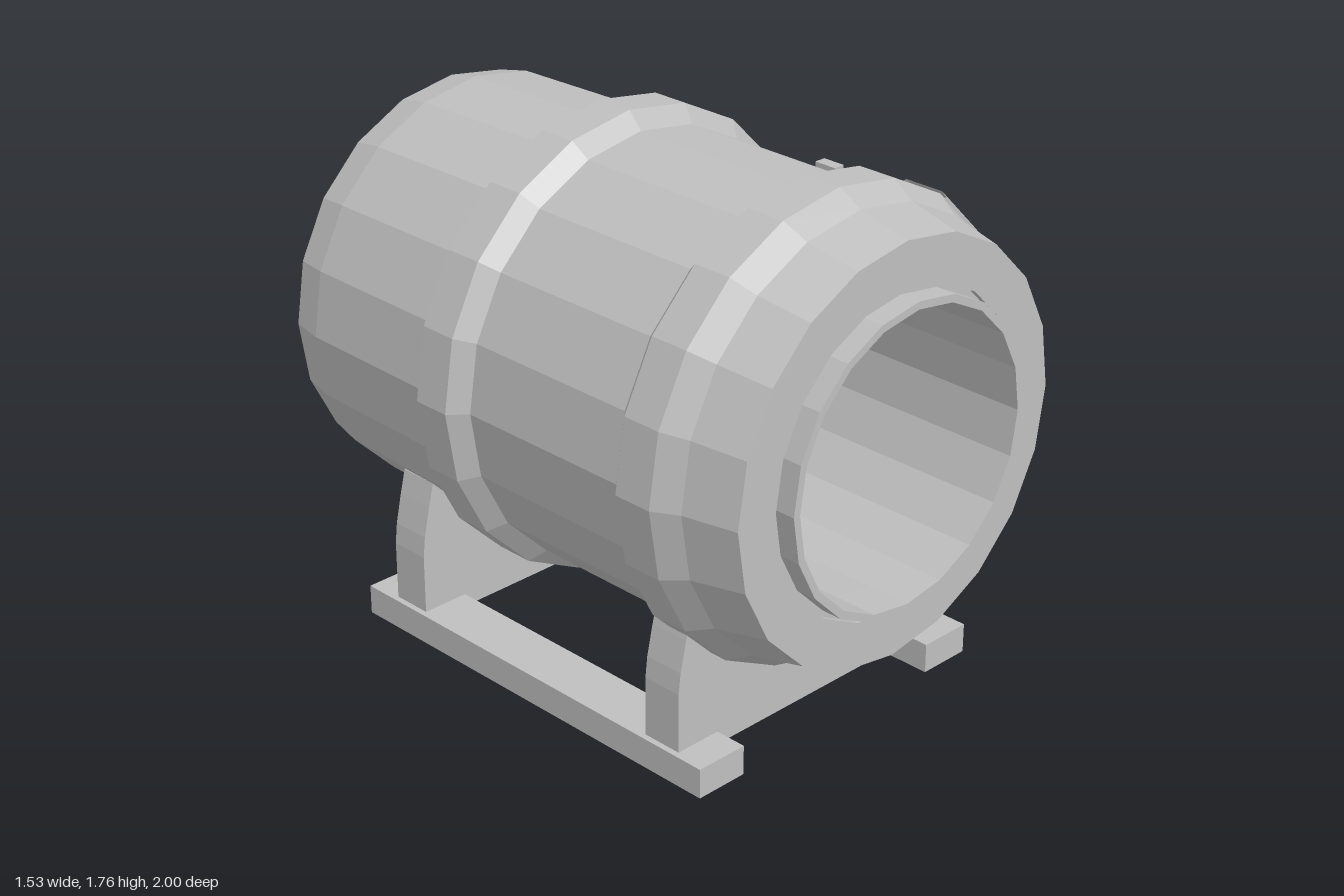
import * as THREE from 'three';

const AXIS_Y = 1; // height of the duct centre line
const SIDES = 20;

export function createModel() {
  const model = new THREE.Group();
  model.name = 'ductedFan';
  const grey = new THREE.MeshStandardMaterial({ color: 0xbfbfbf, flatShading: true, side: THREE.DoubleSide });
  grey.name = 'grey';

  const add = (parent, name, geometry, x = 0, y = 0, z = 0) => {
    const mesh = new THREE.Mesh(geometry, grey);
    mesh.name = name;
    mesh.position.set(x, y, z);
    parent.add(mesh);
    return mesh;
  };

  // Revolves a profile of [radius, z] pairs around the z axis
  const revolve = (profile, sides, start = 0, length = Math.PI * 2) =>
    new THREE.LatheGeometry(profile.map(([r, z]) => new THREE.Vector2(r, z)), sides, start, length)
      .rotateX(Math.PI / 2);

  // Hollow casing with two raised bands, front lip and flared rear outlet
  add(model, 'casing', revolve([
    [0.53, -1], [0.67, -1], [0.695, -0.88], [0.705, -0.355],
    [0.765, -0.3], [0.765, -0.17], [0.71, -0.12],
    [0.71, 0.51], [0.757, 0.555], [0.757, 0.69], [0.71, 0.77], [0.67, 0.95],
    [0.52, 0.95], [0.52, 0.93], [0.5, 0.93], [0.5, 1], [0.475, 1],
    [0.475, 0.85], [0.485, -0.5], [0.53, -1],
  ], SIDES), 0, AXIS_Y, 0);

  // Access hatch covering three facets of the left side
  add(model, 'hatch', revolve([
    [0.7, 0.23], [0.718, 0.23], [0.718, 0.508], [0.765, 0.553],
    [0.765, 0.692], [0.754, 0.713], [0.735, 0.713],
  ], 3, Math.PI / 2, Math.PI * 0.3), 0, AXIS_Y, 0);
  add(model, 'hatchLatch', new THREE.BoxGeometry(0.04, 0.035, 0.08), 0.42, 1.582, 0.27);
  add(model, 'hatchHinge', new THREE.BoxGeometry(0.04, 0.08, 0.012), 0.435, 1.55, 0.708);

  // Fan assembly
  const fan = new THREE.Group();
  fan.name = 'fan';
  fan.position.y = AXIS_Y;
  model.add(fan);

  add(fan, 'hub', revolve([
    [0, -0.83], [0.07, -0.83], [0.11, -0.78], [0.11, -0.46], [0.075, -0.41], [0, -0.41],
  ], 12));

  // Twisted blade: steep and narrow at the root, flatter and wider at the tip
  const bladeGeometry = () => {
    const geometry = new THREE.BoxGeometry(1, 1, 1, 1, 4, 1);
    const p = geometry.attributes.position;
    for (let i = 0; i < p.count; i++) {
      const t = p.getY(i) + 0.5;
      const pitch = THREE.MathUtils.degToRad(66 - 33 * t);
      const chord = 0.075 + 0.045 * t;
      const across = (p.getX(i) + 0.5) * chord;
      const thick = p.getZ(i) * 0.012;
      p.setXYZ(i,
        across * Math.cos(pitch) - thick * Math.sin(pitch),
        0.09 + 0.385 * t,
        (across - chord / 2) * Math.sin(pitch) + thick * Math.cos(pitch));
    }
    geometry.computeVertexNormals();
    return geometry;
  };
  const blade = bladeGeometry();
  for (let i = 0; i < 10; i++) {
    add(fan, 'blade', blade, 0, 0, -0.67).rotation.z = (i * Math.PI * 2) / 10;
  }

  // Three round struts hold the hub in front of the blades
  const strut = new THREE.CylinderGeometry(0.022, 0.022, 0.41, 8).translate(0, 0.285, 0);
  for (let i = 0; i < 3; i++) {
    const angle = THREE.MathUtils.degToRad(71 + i * 120 - 90);
    add(fan, 'strut', strut, 0, 0, -0.51).rotation.z = angle;
  }

  // Cradle plates with a curved seat under the casing
  const plate = new THREE.Shape();
  const edge = [[0.58, 0.055], [0.58, 0.3], [0.572, 0.37], [0.55, 0.47], [0.53, 0.55]];
  edge.forEach(([x, y], i) => (i ? plate.lineTo(x, y) : plate.moveTo(x, y)));
  for (let i = 0; i <= 10; i++) {
    const a = THREE.MathUtils.degToRad(-43 - (94 * i) / 10);
    plate.lineTo(0.64 * Math.cos(a), AXIS_Y + 0.64 * Math.sin(a));
  }
  edge.reverse().forEach(([x, y]) => plate.lineTo(-x, y));
  const cradle = new THREE.ExtrudeGeometry(plate, { depth: 0.14, bevelEnabled: false });
  add(model, 'frontCradle', cradle, 0, 0, 0.49);
  add(model, 'rearCradle', cradle, 0, 0, -0.67);

  // Skids
  for (const side of [-1, 1]) {
    add(model, side > 0 ? 'leftSkid' : 'rightSkid',
      new THREE.BoxGeometry(0.185, 0.1, 1.53), side * 0.5075, 0.05, -0.025);
  }

  return model;
}
